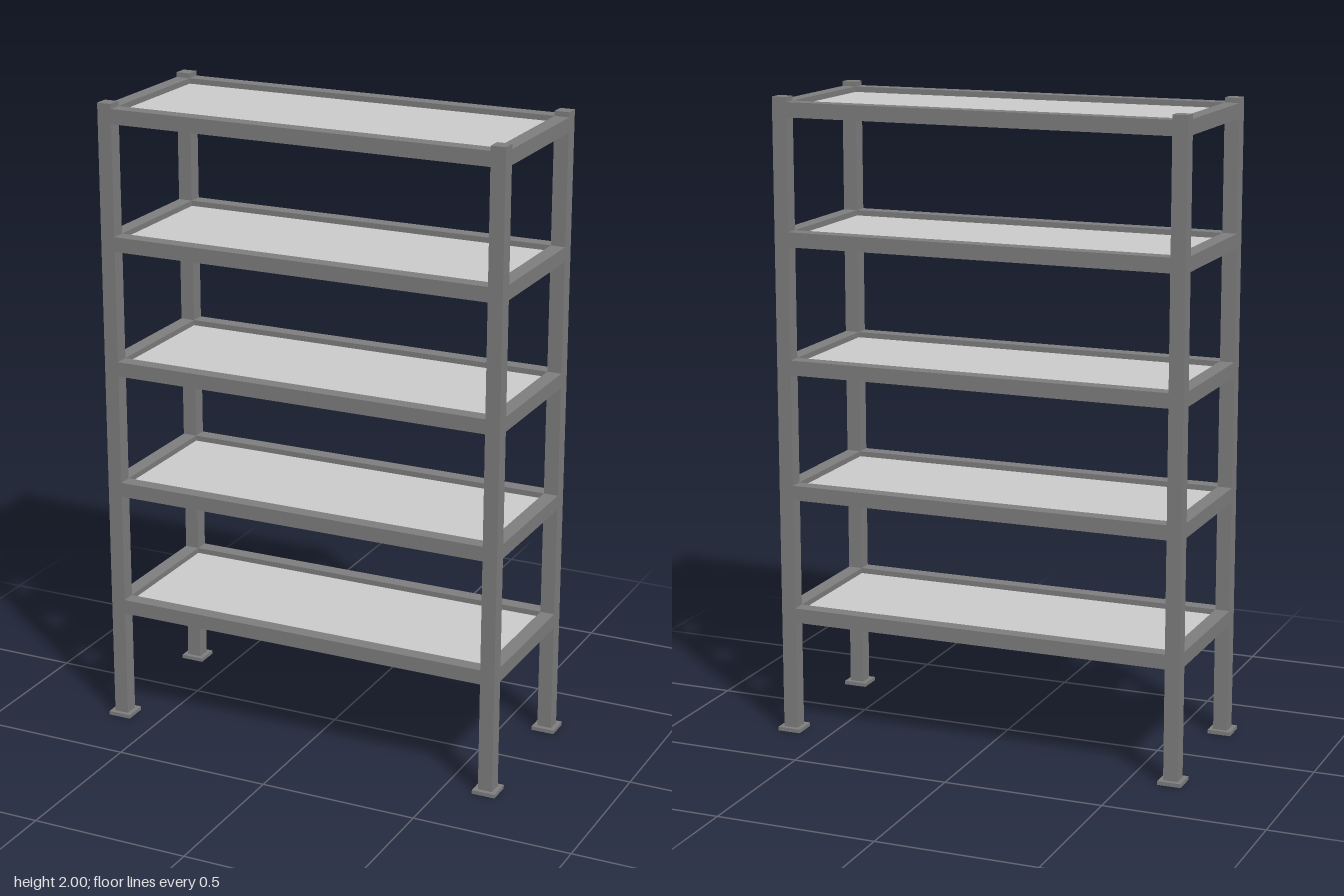
import * as THREE from 'three';

export function createModel() {
  const model = new THREE.Group();
  model.name = 'shelvingRack';

  const frame = new THREE.MeshStandardMaterial({ color: 0x7e7e7e });
  const board = new THREE.MeshStandardMaterial({ color: 0xcccccc });

  const tube = 0.046;               // square tube width
  const px = 0.632, pz = 0.243;     // post centres
  const foot = 0.074, footH = 0.012;
  const shelfTops = [0.405, 0.801, 1.196, 1.592, 1.985];

  const box = (parent, name, w, h, d, x, y, z, material = frame) => {
    const mesh = new THREE.Mesh(new THREE.BoxGeometry(w, h, d), material);
    mesh.name = name;
    mesh.position.set(x, y, z);
    parent.add(mesh);
  };

  // Corner posts on square foot plates
  for (const sx of [1, -1]) {
    for (const sz of [1, -1]) {
      const name = (sz > 0 ? 'front' : 'back') + (sx > 0 ? 'Left' : 'Right');
      box(model, name + 'Post', tube, 2 - footH, tube, sx * px, 1 + footH / 2, sz * pz);
      box(model, name + 'Foot', foot, footH, foot, sx * px, footH / 2, sz * pz);
    }
  }

  // Shelves: four rails around a recessed panel
  const innerW = 2 * px - tube, innerD = 2 * pz - tube;
  shelfTops.forEach((top, i) => {
    const shelf = new THREE.Group();
    shelf.name = 'shelf' + (i + 1);
    shelf.position.y = top - tube / 2;
    for (const s of [1, -1]) {
      box(shelf, s > 0 ? 'frontRail' : 'backRail', innerW, tube, tube, 0, 0, s * pz);
      box(shelf, s > 0 ? 'leftRail' : 'rightRail', tube, tube, innerD, s * px, 0, 0);
    }
    box(shelf, 'panel', innerW, 0.012, innerD, 0, 0, 0, board);
    model.add(shelf);
  });

  return model;
}
